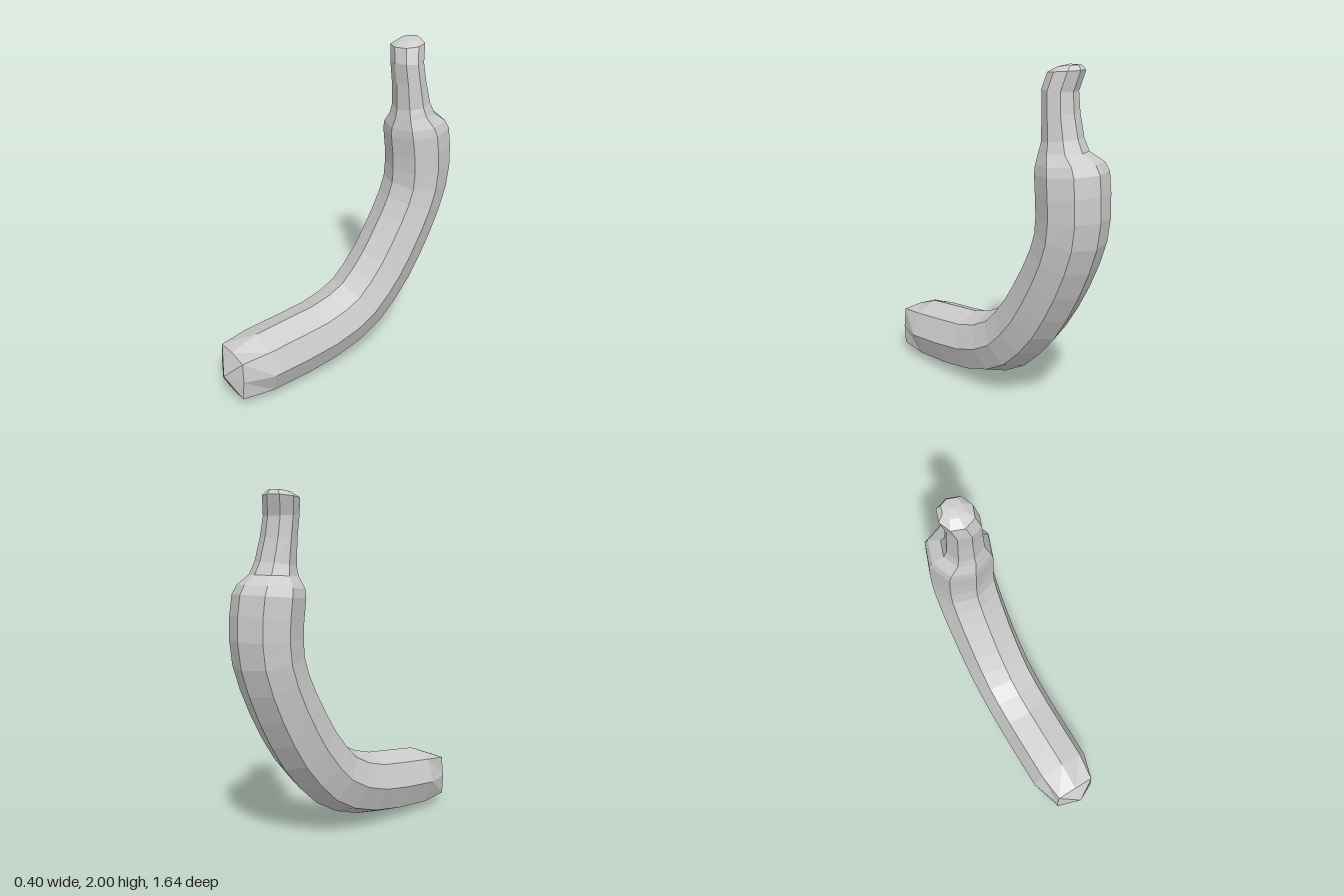
import * as THREE from 'three';

const SIDES = 8;

// Cross-sections: [inner z, inner y, outer z, outer y, half width, x centre, squareness]
const BODY = [
  [0.75, 0.315, 0.76, 0.05, 0.135, 0, 0.93],
  [0.58, 0.38, 0.56, 0, 0.2, 0],
  [0.36, 0.405, 0.3, 0.015, 0.2, 0],
  [0.18, 0.425, 0.08, 0.05, 0.2, 0],
  [0.05, 0.46, -0.11, 0.11, 0.2, 0],
  [-0.05, 0.51, -0.27, 0.2, 0.2, 0],
  [-0.13, 0.59, -0.4, 0.32, 0.2, 0],
  [-0.21, 0.69, -0.51, 0.45, 0.2, 0],
  [-0.28, 0.8, -0.6, 0.59, 0.2, 0],
  [-0.35, 0.92, -0.68, 0.74, 0.2, 0],
  [-0.4, 1.02, -0.75, 0.9, 0.2, 0],
  [-0.43, 1.11, -0.8, 1.05, 0.2, 0],
  [-0.435, 1.2, -0.82, 1.2, 0.2, 0],
  [-0.43, 1.29, -0.815, 1.34, 0.2, 0],
  [-0.415, 1.42, -0.8, 1.45, 0.197, -0.003],
  [-0.415, 1.47, -0.77, 1.5, 0.182, -0.002],
  [-0.43, 1.54, -0.69, 1.55, 0.133, 0.012],
];
const STEM = [
  BODY[BODY.length - 1],
  [-0.44, 1.59, -0.655, 1.62, 0.115, 0.01],
  [-0.435, 1.74, -0.62, 1.75, 0.106, 0.006],
  [-0.42, 1.87, -0.605, 1.86, 0.1, 0],
  [-0.435, 1.955, -0.63, 1.97, 0.1, -0.025],
  [-0.49, 1.985, -0.61, 1.997, 0.06, -0.03],
];

// Joins the cross-sections into a tube, with an optional pointed cap at either end
function tube(name, rings, startTip, endTip) {
  const pos = [], index = [];
  for (const [iz, iy, oz, oy, w, cx, diag = 0.73] of rings) {
    for (let j = 0; j < SIDES; j++) {
      const t = (j / SIDES) * Math.PI * 2;
      const k = j % 2 ? diag * Math.SQRT2 : 1;
      const c = Math.cos(t) * k, s = Math.sin(t) * k;
      pos.push(cx + s * w, (iy + oy) / 2 + ((oy - iy) / 2) * c, (iz + oz) / 2 + ((oz - iz) / 2) * c);
    }
  }
  for (let i = 0; i < rings.length - 1; i++) {
    for (let j = 0; j < SIDES; j++) {
      const a = i * SIDES + j, b = i * SIDES + ((j + 1) % SIDES);
      index.push(a, a + SIDES, b, b, a + SIDES, b + SIDES);
    }
  }
  const cap = (tip, first, flip) => {
    const apex = pos.length / 3;
    pos.push(...tip);
    for (let j = 0; j < SIDES; j++) {
      const a = first + j, b = first + ((j + 1) % SIDES);
      index.push(apex, flip ? b : a, flip ? a : b);
    }
  };
  if (startTip) cap(startTip, 0, false);
  if (endTip) cap(endTip, (rings.length - 1) * SIDES, true);

  const geo = new THREE.BufferGeometry();
  geo.setAttribute('position', new THREE.Float32BufferAttribute(pos, 3));
  geo.setIndex(index);
  geo.computeVertexNormals();
  const mesh = new THREE.Mesh(geo, new THREE.MeshStandardMaterial({ color: 0xcccccc, flatShading: true }));
  mesh.name = name;
  return mesh;
}

export function createModel() {
  const group = new THREE.Group();
  group.name = 'banana';
  // Curved fruit with its blunt pointed end
  group.add(tube('fruit', BODY, [0.01, 0.18, 0.82], null));
  // Slightly leaning stem with a domed top
  group.add(tube('stem', STEM, null, [-0.03, 2, -0.55]));
  return group;
}
